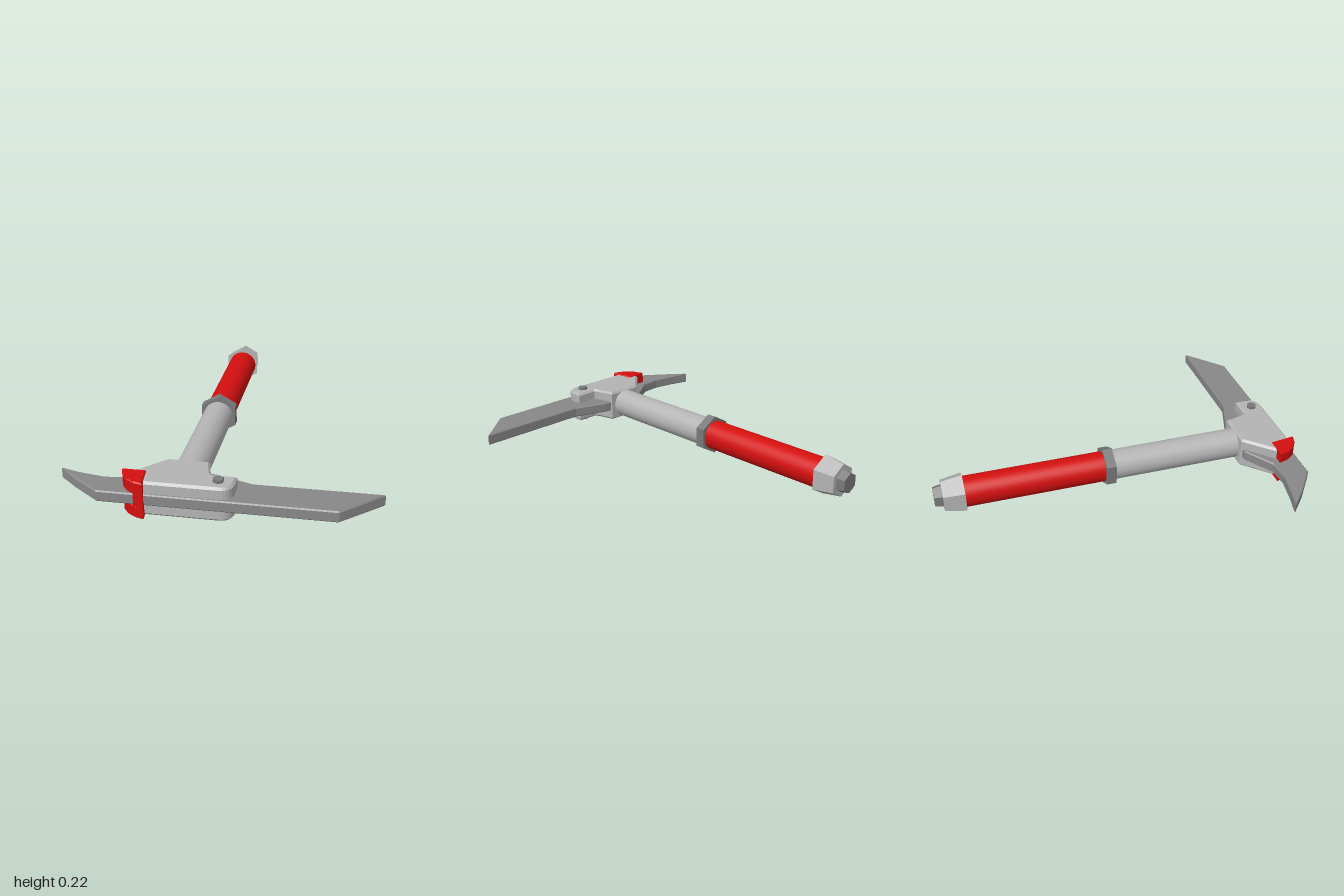
import * as THREE from 'three';

const mat = (name, color) => {
  const m = new THREE.MeshStandardMaterial({ color });
  m.name = name;
  return m;
};

export function createModel() {
  const group = new THREE.Group();
  const lightSteel = mat('light steel', 0xb4b4b4);
  const bladeSteel = mat('blade steel', 0x888888);
  const darkSteel = mat('dark steel', 0x7a7a7a);
  const red = mat('red', 0xd40f0f);
  const CX = -0.165, CY = 0.118;

  const add = (name, geo, material) => {
    const mesh = new THREE.Mesh(geo, material);
    mesh.name = name;
    group.add(mesh);
    return mesh;
  };

  // Round or six-sided rod along z, from zFront back to zBack
  const rod = (name, rFront, rBack, zFront, zBack, sides, material) => {
    let geo = new THREE.CylinderGeometry(rBack, rFront, zFront - zBack, sides);
    if (sides < 10) {
      geo = geo.toNonIndexed();
      geo.computeVertexNormals();
    }
    geo.rotateX(-Math.PI / 2);
    add(name, geo, material).position.set(CX, CY, (zFront + zBack) / 2);
  };

  // Horizontal plate from an outline of [x, z] points, between heights y0 and y1
  const plate = (name, points, y0, y1, bevel, material) => {
    const shape = new THREE.Shape(points.map(([x, z]) => new THREE.Vector2(x, -z)));
    const geo = new THREE.ExtrudeGeometry(shape, {
      depth: y1 - y0 - 2 * bevel, bevelEnabled: bevel > 0,
      bevelThickness: bevel, bevelSize: bevel, bevelOffset: -bevel, bevelSegments: 1,
    });
    geo.translate(0, 0, y0 + bevel);
    geo.rotateX(-Math.PI / 2);
    add(name, geo, material);
  };

  // Handle
  rod('shaft', 0.083, 0.083, 0.74, -0.03, 40, lightSteel);
  rod('collar', 0.112, 0.112, -0.018, -0.072, 6, darkSteel);
  rod('grip', 0.084, 0.084, -0.07, -0.845, 40, red);
  rod('endCap', 0.111, 0.091, -0.84, -0.955, 6, lightSteel);
  rod('endTip', 0.066, 0.056, -0.95, -1, 6, darkSteel);

  // Blade: curved pick on the right, broad adze on the left
  plate('blade', [
    [-0.8, 0.785], [-0.69, 0.812], [-0.56, 0.835], [-0.45, 0.825], [-0.3, 0.722],
    [-0.24, 0.715], [-0.08, 0.715], [-0.02, 0.725], [0.17, 0.79], [0.8, 0.79],
    [0.595, 0.98], [-0.56, 0.98], [-0.7, 0.875],
  ], 0.088, 0.147, 0.006, bladeSteel);

  // Head housing around the blade
  const corner = new THREE.QuadraticBezierCurve(
    new THREE.Vector2(0.1, 0.895), new THREE.Vector2(0.098, 0.967), new THREE.Vector2(0.03, 0.968),
  ).getPoints(6).map((p) => [p.x, p.y]);
  plate('head', [
    [-0.27, 0.71], [-0.058, 0.71], [-0.032, 0.82], [-0.02, 0.836], [0.1, 0.836],
    ...corner, [-0.35, 0.968], [-0.42, 0.87],
  ], 0.028, 0.208, 0.012, lightSteel);

  // Pivot pin
  const pin = new THREE.CylinderGeometry(0.028, 0.028, 0.212, 6).toNonIndexed();
  pin.computeVertexNormals();
  add('pivotPin', pin, darkSteel).position.set(0.02, CY, 0.9);

  // Red clip: upper and lower jaws joined by a bar in front of the blade
  const jaw = [
    [-0.46, 0.86], [-0.34, 0.86], [-0.323, 0.997], [-0.37, 0.985],
    [-0.41, 0.96], [-0.44, 0.92],
  ];
  plate('clipUpperJaw', jaw, 0.147, 0.215, 0.006, red);
  plate('clipLowerJaw', jaw, 0.02, 0.088, 0.006, red);
  plate('clipBar', [
    [-0.375, 0.95], [-0.329, 0.95], [-0.323, 0.997], [-0.375, 0.983],
  ], 0.07, 0.165, 0, red);

  return group;
}
